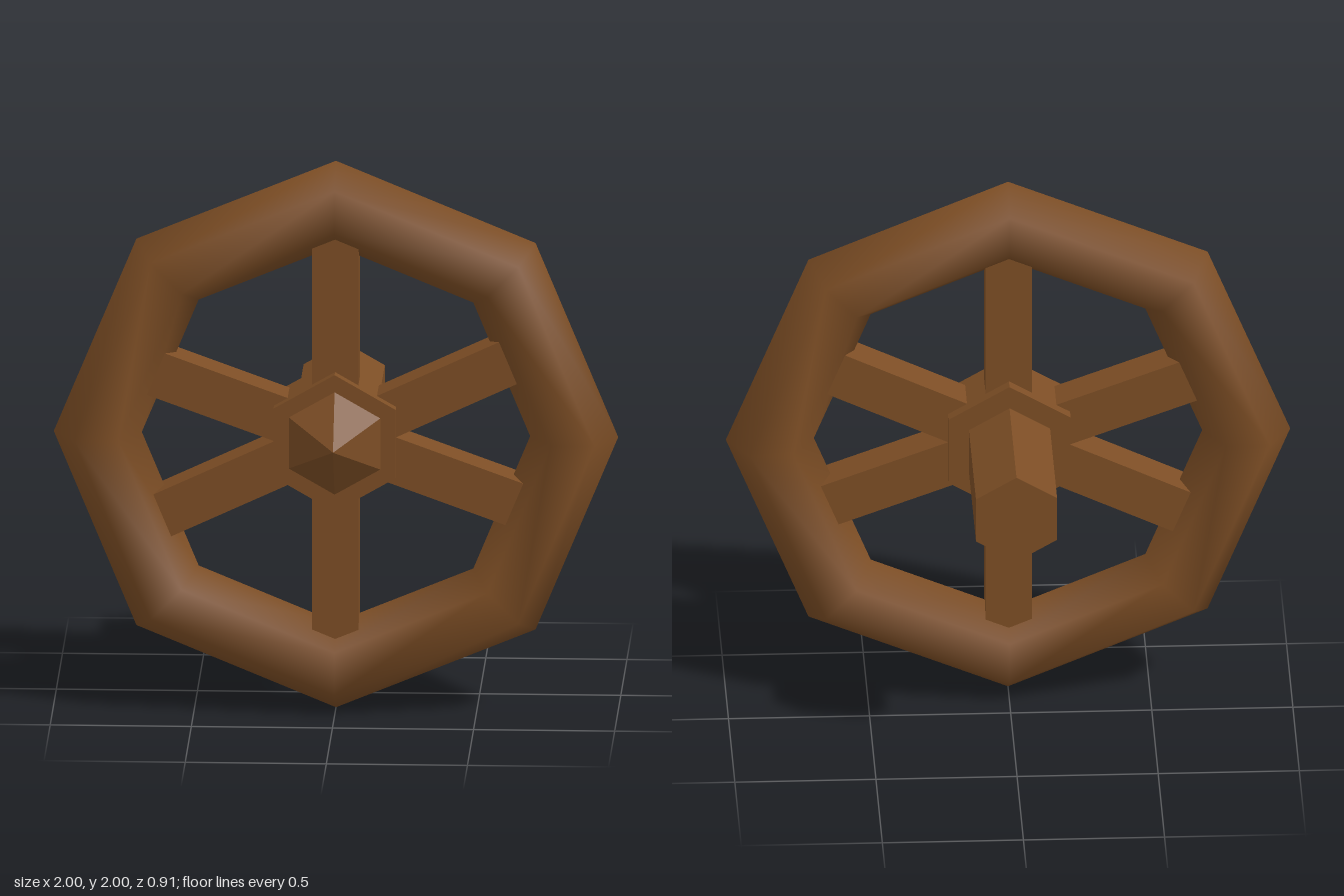
import * as THREE from 'three';

export function createModel() {
  const group = new THREE.Group();
  const wood = new THREE.MeshStandardMaterial({ color: 0x7d4e25 });
  wood.name = 'brown wood';
  const wheelZ = 0.21;

  const add = (name, geometry, y, z) => {
    const mesh = new THREE.Mesh(geometry, wood);
    mesh.name = name;
    mesh.position.set(0, y, z);
    group.add(mesh);
    return mesh;
  };

  // Faceted six-sided prism or cone along z, with a corner pointing up
  const hexPart = (name, rFront, rBack, zBack, zFront) => {
    const geometry = new THREE.CylinderGeometry(rFront, rBack, zFront - zBack, 6)
      .rotateX(Math.PI / 2)
      .toNonIndexed();
    geometry.computeVertexNormals();
    return add(name, geometry, 0.996, (zFront + zBack) / 2);
  };

  // Eight-sided rim with a smooth-shaded hexagonal section
  add('rim', new THREE.TorusGeometry(0.844, 0.156, 6, 8), 1, wheelZ);

  // Three bars through the hub make six spokes, ends buried in the rim
  for (const degrees of [90, 25, -20]) {
    const bar = add('spokePair', new THREE.BoxGeometry(1.56, 0.165, 0.148), 1, wheelZ);
    bar.rotation.z = THREE.MathUtils.degToRad(degrees);
  }

  // Hub, pointed cap and axle
  hexPart('hub', 0.25, 0.25, 0.09, 0.327);
  hexPart('hubCap', 0, 0.19, 0.325, 0.457);
  hexPart('axle', 0.166, 0.166, -0.457, 0.15);

  return group;
}
